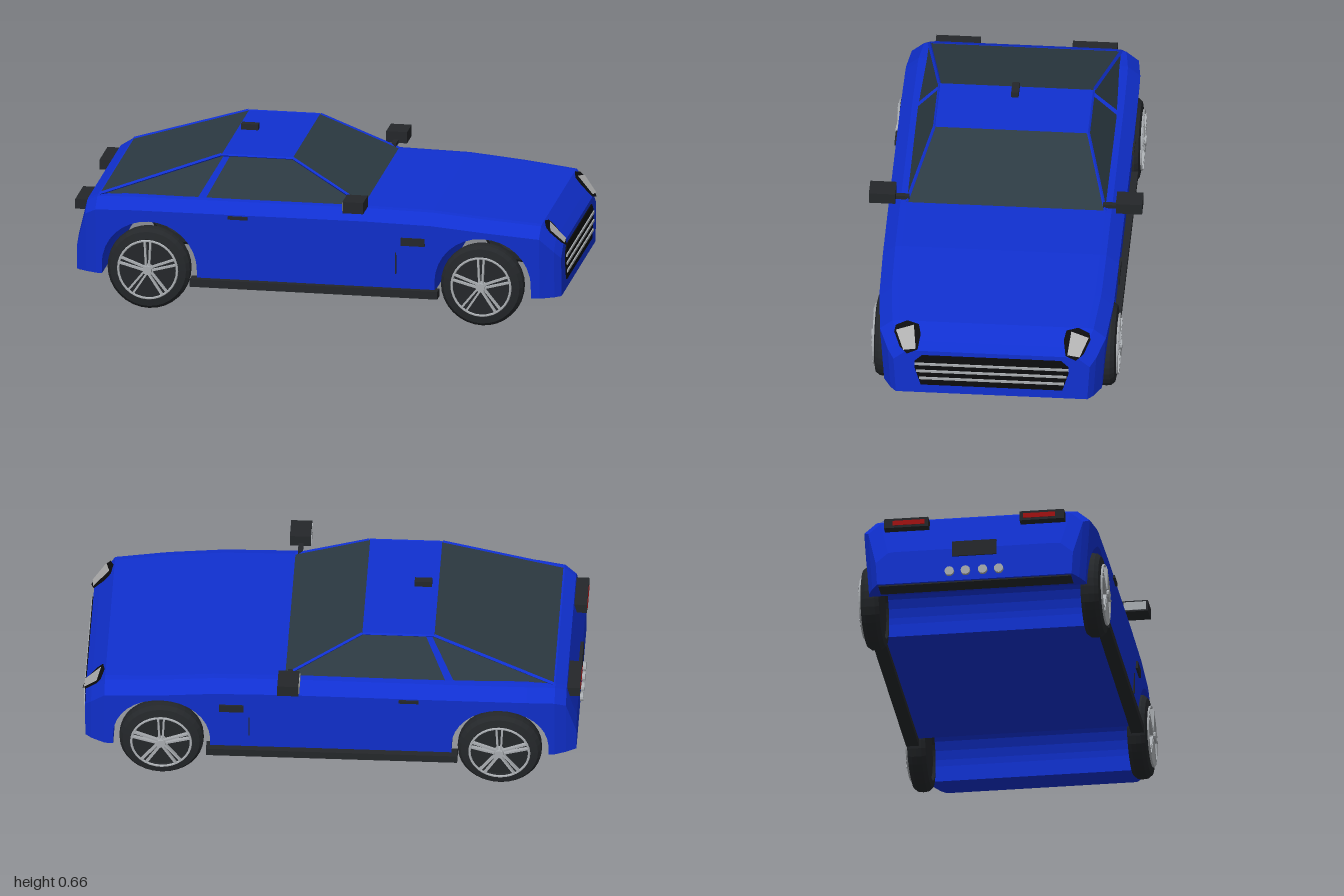
import * as THREE from 'three';

const mat = (color, side = THREE.FrontSide) =>
  new THREE.MeshStandardMaterial({ color, side, flatShading: true });
const BLUE = 0x1030d0, GLASS = 0x2c3a42, DARK = 0x24272a, BLACK = 0x0c0c0e, SILVER = 0xa8acb0, RED = 0xa01010;

// Body stations: x, top height, half width
const STATIONS = [
  [-0.985, 0.27, 0.4], [-0.945, 0.42, 0.435], [-0.9, 0.445, 0.457], [-0.78, 0.455, 0.472],
  [-0.5, 0.457, 0.475], [0.2, 0.46, 0.475], [0.47, 0.455, 0.475], [0.7, 0.435, 0.472],
  [0.91, 0.415, 0.455], [0.965, 0.355, 0.42], [0.99, 0.325, 0.395]];
const WHEEL_X = 0.68, WHEEL_Y = 0.17, ARCH = 0.195;

export function createModel() {
  const car = new THREE.Group();

  const add = (name, geo, color, parent = car, side) => {
    const m = new THREE.Mesh(geo, mat(color, side));
    m.name = name;
    parent.add(m);
    return m;
  };
  const box = (name, x0, x1, y0, y1, z0, z1, color, parent) =>
    add(name, new THREE.BoxGeometry(x1 - x0, y1 - y0, z1 - z0), color, parent)
      .position.set((x0 + x1) / 2, (y0 + y1) / 2, (z0 + z1) / 2);
  // Flat convex panel from its corners
  const panel = (name, pts, color) => {
    const pos = [];
    for (let i = 1; i < pts.length - 1; i++) pos.push(...pts[0], ...pts[i], ...pts[i + 1]);
    const g = new THREE.BufferGeometry();
    g.setAttribute('position', new THREE.Float32BufferAttribute(pos, 3));
    g.computeVertexNormals();
    return add(name, g, color, car, THREE.DoubleSide);
  };
  const rail = (name, a, b, r, color) => add(name, new THREE.TubeGeometry(
    new THREE.LineCurve3(new THREE.Vector3(...a), new THREE.Vector3(...b)), 1, r, 4), color);

  add('body', bodyGeometry(), BLUE);

  // Greenhouse
  panel('windshield', [[0.185, 0.461, 0.4], [0.185, 0.461, -0.4], [-0.12, 0.615, -0.31], [-0.12, 0.615, 0.31]], GLASS);
  panel('rearWindow', [[-0.893, 0.448, -0.385], [-0.893, 0.448, 0.385], [-0.41, 0.615, 0.31], [-0.41, 0.615, -0.31]], GLASS);
  panel('roof', [[-0.12, 0.615, 0.31], [-0.12, 0.615, -0.31], [-0.41, 0.615, -0.31], [-0.41, 0.615, 0.31]], BLUE);
  box('roofAntenna', -0.385, -0.315, 0.632, 0.656, -0.015, 0.015, DARK);

  for (const s of [1, -1]) {
    // Side glass with an open gap between door and quarter windows
    panel('doorWindow', [[-0.457, 0.458, s * 0.4], [0.175, 0.458, s * 0.4], [-0.125, 0.612, s * 0.311], [-0.375, 0.612, s * 0.311]], GLASS);
    panel('quarterWindow', [[-0.87, 0.45, s * 0.386], [-0.49, 0.458, s * 0.398], [-0.4, 0.612, s * 0.311]], GLASS);
    rail('frontPillar', [0.185, 0.46, s * 0.4], [-0.12, 0.613, s * 0.31], 0.007, BLUE);
    rail('roofRail', [-0.12, 0.612, s * 0.31], [-0.41, 0.612, s * 0.31], 0.006, BLUE);
    rail('rearPillar', [-0.41, 0.613, s * 0.31], [-0.893, 0.446, s * 0.385], 0.008, BLUE);

    // Side trim: sill, vent, handle, door seam
    const trim = (name, x0, x1, y0, y1, z0, z1) =>
      box(name, x0, x1, y0, y1, Math.min(s * z0, s * z1), Math.max(s * z0, s * z1), DARK);
    trim('sill', -0.51, 0.5, 0.105, 0.137, 0.43, 0.482);
    trim('sideVent', 0.35, 0.447, 0.322, 0.354, 0.455, 0.478);
    trim('doorHandle', -0.355, -0.275, 0.395, 0.408, 0.46, 0.482);
    trim('doorSeam', 0.326, 0.33, 0.2, 0.29, 0.45, 0.4685);

    // Door mirror with rear-facing glass
    trim('mirrorArm', 0.155, 0.175, 0.466, 0.482, 0.39, 0.46);
    trim('mirrorHousing', 0.125, 0.21, 0.468, 0.515, 0.444, 0.55);
    box('mirrorGlass', 0.122, 0.126, 0.474, 0.509, s * 0.497 - 0.045, s * 0.497 + 0.045, SILVER);

    // Headlight: dark surround below a lens, lying on the nose slope
    const onNose = (pts, off) => pts.map(([z, y]) =>
      [0.91 + (0.415 - y) * 0.89 + off, y + off, s * z]);
    panel('headlightSurround', onNose([[0.345, 0.415], [0.297, 0.405], [0.288, 0.375], [0.298, 0.328], [0.34, 0.315], [0.37, 0.335], [0.395, 0.38], [0.39, 0.4]], 0.004), BLACK);
    panel('headlightLens', onNose([[0.388, 0.385], [0.317, 0.402], [0.305, 0.33], [0.355, 0.325]], 0.008), 0xb0b0b0);

    // Tail lamp
    trim('tailLampHousing', -0.998, -0.94, 0.372, 0.412, 0.185, 0.365);
    box('tailLampLens', -1, -0.997, 0.382, 0.402, s * 0.265 - 0.065, s * 0.265 + 0.065, RED);

    // Exhaust tips
    for (const z of [0.035, 0.1]) {
      const tip = add('exhaustTip', new THREE.CylinderGeometry(0.019, 0.019, 0.05, 12), SILVER);
      tip.rotation.z = Math.PI / 2;
      tip.position.set(-0.974, 0.168, s * z);
    }

    for (const x of [WHEEL_X, -WHEEL_X]) {
      const wheel = makeWheel(add);
      wheel.position.set(x, WHEEL_Y, s * 0.445);
      if (s < 0) wheel.rotation.y = Math.PI;
      car.add(wheel);
    }
  }

  // Front grille with three bars
  const outline = [[-0.28, 0.305], [-0.31, 0.275], [-0.31, 0.245], [-0.285, 0.16], [0.285, 0.16], [0.31, 0.245], [0.31, 0.275], [0.28, 0.305]];
  const grille = new THREE.ExtrudeGeometry(
    new THREE.Shape(outline.map(p => new THREE.Vector2(...p))), { depth: 0.01, bevelEnabled: false });
  grille.rotateY(Math.PI / 2).translate(0.985, 0, 0);
  add('grille', grille, BLACK);
  [[0.265, 0.31], [0.23, 0.303], [0.195, 0.292]].forEach(([y, w]) =>
    box('grilleBar', 0.99, 1, y - 0.005, y + 0.005, -w, w, SILVER));

  // Rear plate recess and lower valance
  box('rearPlate', -0.99, -0.95, 0.235, 0.3, -0.09, 0.09, DARK);
  box('rearValance', -0.975, -0.9, 0.125, 0.15, -0.39, 0.39, DARK);
  return car;
}

// Value of column c of the stations at x
function sample(x, c) {
  let i = 0;
  while (i < STATIONS.length - 2 && x > STATIONS[i + 1][0]) i++;
  const a = STATIONS[i], b = STATIONS[i + 1];
  return THREE.MathUtils.mapLinear(x, a[0], b[0], a[c], b[c]);
}

// Lofted shell whose underside rises into full-width wheel arches
function bodyGeometry() {
  const xs = STATIONS.map(s => s[0]).filter(x => Math.abs(Math.abs(x) - WHEEL_X) > ARCH + 0.003);
  for (const c of [-WHEEL_X, WHEEL_X]) {
    xs.push(c - ARCH, c + ARCH);
    for (let i = 0; i <= 16; i++) xs.push(c - 0.1945 * Math.cos(i / 16 * Math.PI));
  }
  xs.sort((a, b) => a - b);
  const rings = xs.map(x => {
    const d = Math.abs(Math.abs(x) - WHEEL_X);
    const yb = d < ARCH - 0.0002 ? WHEEL_Y + Math.sqrt(ARCH * ARCH - d * d) : x > 0.8 ? 0.118 : 0.13;
    const yt = sample(x, 1), w = sample(x, 2), yc = yt - 0.045;
    const half = [[w * (1 - 0.15 * (yc - yb)), yb], [w, yc], [w - 0.05, yt - 0.003], [w - 0.075, yt]];
    return [...half, ...half.map(([z, y]) => [-z, y]).reverse()].map(([z, y]) => [x, y, z]);
  });
  const pos = [], n = rings[0].length, last = rings[rings.length - 1];
  for (let i = 0; i < rings.length - 1; i++) {
    for (let j = 0; j < n; j++) {
      const k = (j + 1) % n, a = rings[i][j], b = rings[i + 1][j], c = rings[i + 1][k], d = rings[i][k];
      pos.push(...a, ...b, ...c, ...a, ...c, ...d);
    }
  }
  for (let j = 1; j < n - 1; j++) {
    pos.push(...rings[0][0], ...rings[0][j], ...rings[0][j + 1]);
    pos.push(...last[0], ...last[j + 1], ...last[j]);
  }
  const g = new THREE.BufferGeometry();
  g.setAttribute('position', new THREE.Float32BufferAttribute(pos, 3));
  g.computeVertexNormals();
  return g;
}

// Wheel facing +z: tyre, dark disc, rim ring, five twin spokes, hub
function makeWheel(add) {
  const wheel = new THREE.Group();
  wheel.name = 'wheel';
  const profile = [[0.001, -0.03], [0.115, -0.03], [0.125, -0.04], [0.155, -0.036], [0.168, -0.02],
    [0.17, 0], [0.168, 0.02], [0.155, 0.036], [0.125, 0.042], [0.118, 0.03], [0.001, 0.03]];
  const tyre = new THREE.LatheGeometry(profile.map(p => new THREE.Vector2(...p)), 32);
  add('tyre', tyre.rotateX(Math.PI / 2), DARK, wheel, THREE.DoubleSide);
  add('rim', new THREE.TorusGeometry(0.12, 0.005, 6, 32), SILVER, wheel).position.z = 0.045;
  for (let i = 0; i < 5; i++) {
    const spoke = new THREE.Group();
    spoke.name = 'spoke';
    spoke.rotation.z = i * Math.PI * 2 / 5;
    for (const s of [1, -1]) {
      const bar = add('spokeBar', new THREE.BoxGeometry(0.008, 0.105, 0.014), SILVER, spoke);
      bar.position.set(s * 0.009, 0.066, 0.045);
      bar.rotation.z = -s * 0.05;
    }
    wheel.add(spoke);
  }
  const hub = add('hub', new THREE.CylinderGeometry(0.018, 0.022, 0.03, 10), SILVER, wheel);
  hub.rotation.x = Math.PI / 2;
  hub.position.z = 0.045;
  return wheel;
}
